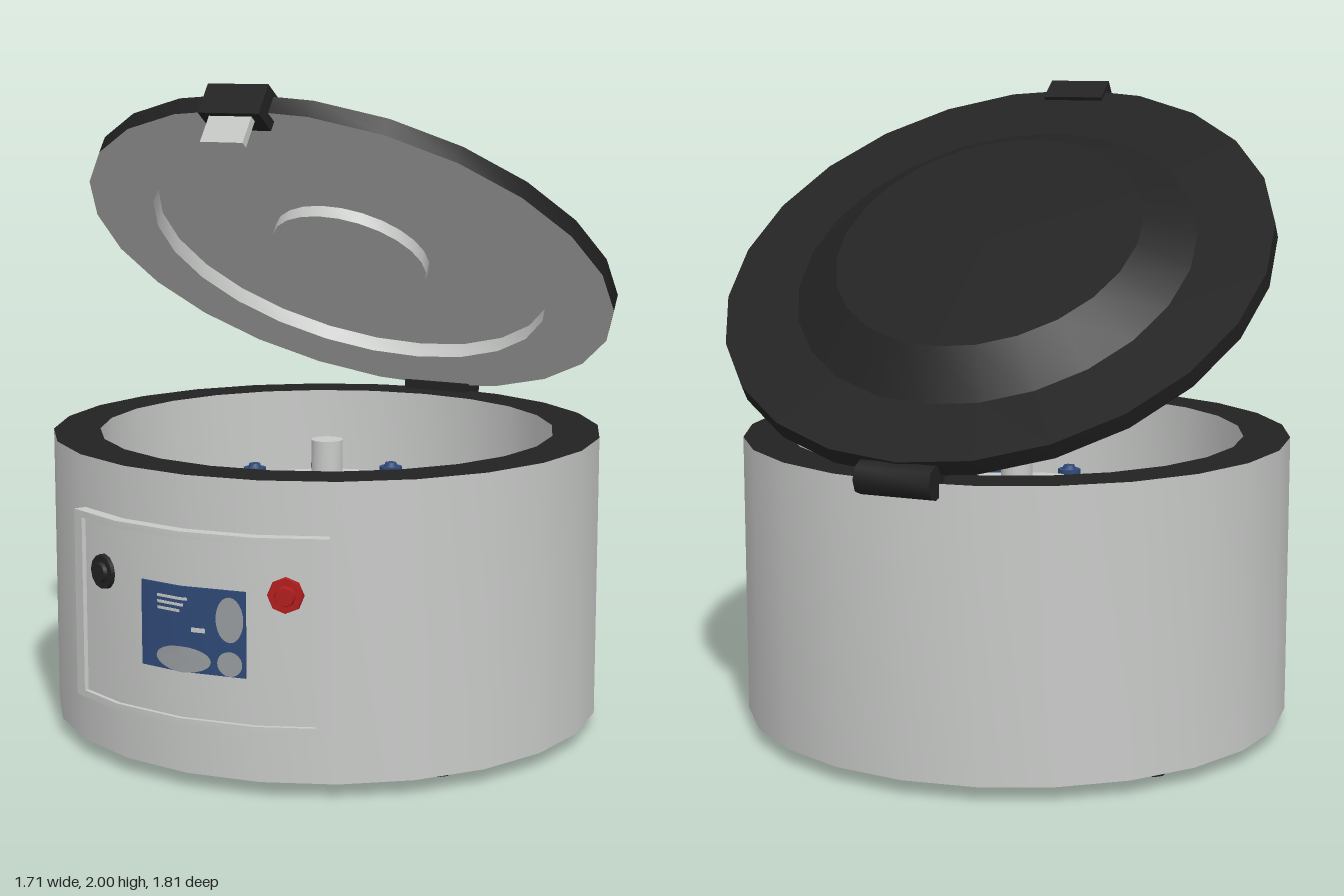
import * as THREE from 'three';
import { toCreasedNormals } from 'three/addons/utils/BufferGeometryUtils.js';

const SIDES = 24, R = 0.857, RAD = Math.PI / 180;
const mat = (name, color) => Object.assign(new THREE.MeshStandardMaterial({ color }), { name });

export function createModel() {
  const light = mat('light grey', 0xc8cac8);
  const black = mat('black', 0x222222);
  const blue = mat('blue', 0x304a78);
  const red = mat('red', 0xb01c1c);
  const grey = mat('mid grey', 0x9a9ea0);

  const model = new THREE.Group();
  const add = (parent, name, geo, material, x = 0, y = 0, z = 0) => {
    const m = new THREE.Mesh(geo, material);
    m.name = name;
    m.position.set(x, y, z);
    parent.add(m);
    return m;
  };
  const lathe = (pts) => toCreasedNormals(
    new THREE.LatheGeometry(pts.map(([x, y]) => new THREE.Vector2(x, y)), SIDES), 28 * RAD);
  const cyl = (r0, r1, h, n) => toCreasedNormals(new THREE.CylinderGeometry(r0, r1, h, n), 50 * RAD);

  // distance from the axis to a 24-sided wall at angle a (degrees from the front)
  const wall = (a, r) => {
    const k = ((a % 15) + 15) % 15 - 7.5;
    return r * Math.cos(7.5 * RAD) / Math.cos(k * RAD);
  };
  // curved slab that follows the faceted wall
  const slab = (a0, a1, r0, r1, y0, y1) => {
    const angles = [a0];
    for (let a = Math.ceil((a0 + 0.01) / 15) * 15; a < a1; a += 15) angles.push(a);
    angles.push(a1);
    const pt = (a, r) => new THREE.Vector2(wall(a, r) * Math.sin(a * RAD), -wall(a, r) * Math.cos(a * RAD));
    const shape = new THREE.Shape([
      ...angles.map((a) => pt(a, r1)),
      ...angles.slice().reverse().map((a) => pt(a, r0))]);
    const g = new THREE.ExtrudeGeometry(shape, { depth: y1 - y0, bevelEnabled: false });
    g.rotateX(-Math.PI / 2).translate(0, y0, 0);
    return toCreasedNormals(g, 28 * RAD);
  };
  const angleAt = (x, r) => Math.asin(x / r) / RAD;

  // housing
  const body = new THREE.Group();
  body.name = 'body';
  body.position.z = 0.007;
  model.add(body);
  add(body, 'housing', lathe([[0, 0.045], [R, 0.045], [R, 0.92]]), light);
  add(body, 'rim', lathe([[R, 0.92], [0.712, 0.92]]), black);
  add(body, 'bowl', lathe([[0.712, 0.92], [0.712, 0.3], [0, 0.3]]), light);
  for (const x of [-0.605, 0.585]) for (const z of [-0.395, 0.4])
    add(body, 'foot', new THREE.CylinderGeometry(0.037, 0.037, 0.046, 8).rotateY(22.5 * RAD), black, x, 0.023, z);

  // control panel with raised frame
  const E = 28.5, I = 26;
  add(body, 'panel', slab(-E, E, 0.84, 0.882, 0.205, 0.76), light);
  add(body, 'panelFrameTop', slab(-E, E, 0.84, 0.895, 0.745, 0.765), light);
  add(body, 'panelFrameBottom', slab(-E, E, 0.84, 0.895, 0.2, 0.22), light);
  add(body, 'panelFrameLeft', slab(I, E, 0.84, 0.895, 0.22, 0.745), light);
  add(body, 'panelFrameRight', slab(-E, -I, 0.84, 0.895, 0.22, 0.745), light);

  // screen with its pale display areas
  const [s0, s1] = [angleAt(-0.14, 0.885), angleAt(0.2, 0.885)];
  add(body, 'screen', slab(s0, s1, 0.88, 0.888, 0.355, 0.605), blue);
  const spot = (x, y, rx, ry) => {
    const g = new THREE.CircleGeometry(1, 24).scale(rx, ry, 1).translate(x, y, 0);
    const p = g.attributes.position;
    for (let i = 0; i < p.count; i++) p.setZ(i, 0.89 - Math.abs(p.getX(i)) * Math.tan(7.5 * RAD));
    g.computeVertexNormals();
    add(body, 'screenArea', g, grey);
  };
  spot(0.005, 0.392, 0.09, 0.038);
  spot(0.152, 0.392, 0.038, 0.036);
  spot(0.152, 0.52, 0.042, 0.066);
  for (let i = 0; i < 3; i++)
    add(body, 'screenLine', slab(-5.2, 1.5 - i * 0.8, 0.886, 0.89, 0.565 - i * 0.018, 0.573 - i * 0.018), light);
  add(body, 'screenLine', slab(2.3, 5, 0.886, 0.89, 0.475, 0.488), light);

  // knob and stop button, facing outward
  const dial = (name, x, material, sides) => {
    const a = angleAt(x, 0.882), r = wall(a, 0.882);
    const g = new THREE.Group();
    g.name = name;
    g.position.set(r * Math.sin(a * RAD), 0.6, r * Math.cos(a * RAD));
    g.rotation.y = a * RAD;
    body.add(g);
    add(g, name + 'Base', cyl(0.05, 0.053, 0.016, sides).rotateX(Math.PI / 2), material, 0, 0, 0.006);
    add(g, name + 'Cap', cyl(0.027, 0.032, 0.014, sides).rotateX(Math.PI / 2), material, 0, 0, 0.018);
  };
  dial('knob', -0.295, black, 12);
  dial('stopButton', 0.308, red, 8);

  // rotor with spindle and a ring of capped tubes
  const rotor = new THREE.Group();
  rotor.name = 'rotor';
  body.add(rotor);
  add(rotor, 'rotorDisc', cyl(0.425, 0.425, 0.05, 36), light, 0, 0.675);
  add(rotor, 'rotorHub', cyl(0.12, 0.16, 0.36, 24), light, 0, 0.48);
  add(rotor, 'spindle', cyl(0.05, 0.05, 0.18, 20), light, 0, 0.79);
  for (let i = 0; i < 12; i++) {
    const a = i * 30 * RAD, x = 0.455 * Math.sin(a), z = 0.455 * Math.cos(a);
    add(rotor, 'tubeHolder', cyl(0.052, 0.045, 0.1, 10), light, x, 0.635, z);
    add(rotor, 'tube', cyl(0.032, 0.026, 0.2, 10), light, x, 0.56, z);
    add(rotor, 'tubeCap', cyl(0.038, 0.038, 0.025, 10), blue, x, 0.7, z);
    add(rotor, 'tubeCapTop', cyl(0.018, 0.024, 0.014, 10), blue, x, 0.719, z);
  }

  // open lid, built flat and tilted about the rear hinge
  const lid = new THREE.Group();
  lid.name = 'lid';
  lid.position.set(0, 1.43, -0.135);
  lid.rotation.x = -35.5 * RAD;
  model.add(lid);
  add(lid, 'lidShell', lathe([[R, 0], [R, 0.055], [0.625, 0.055], [0.478, 0.145], [0, 0.145]]), black);
  add(lid, 'lidLiner', lathe([[0, 0.012], [0.253, 0.012], [0.253, 0.05], [0.645, 0.05], [0.645, 0], [R, 0]]), light);
  add(lid, 'latchBlock', new THREE.BoxGeometry(0.2, 0.1, 0.088), black, 0, 0.018, 0.844);
  add(lid, 'latchTab', new THREE.BoxGeometry(0.14, 0.1, 0.024), light, 0, -0.07, 0.861);

  // rear hinge
  add(model, 'hingeBarrel', cyl(0.05, 0.05, 0.235, 8).rotateZ(Math.PI / 2), black, 0, 0.925, -0.853);
  add(model, 'hingeMount', new THREE.BoxGeometry(0.235, 0.07, 0.065), black, 0, 0.914, -0.828);
  return model;
}
